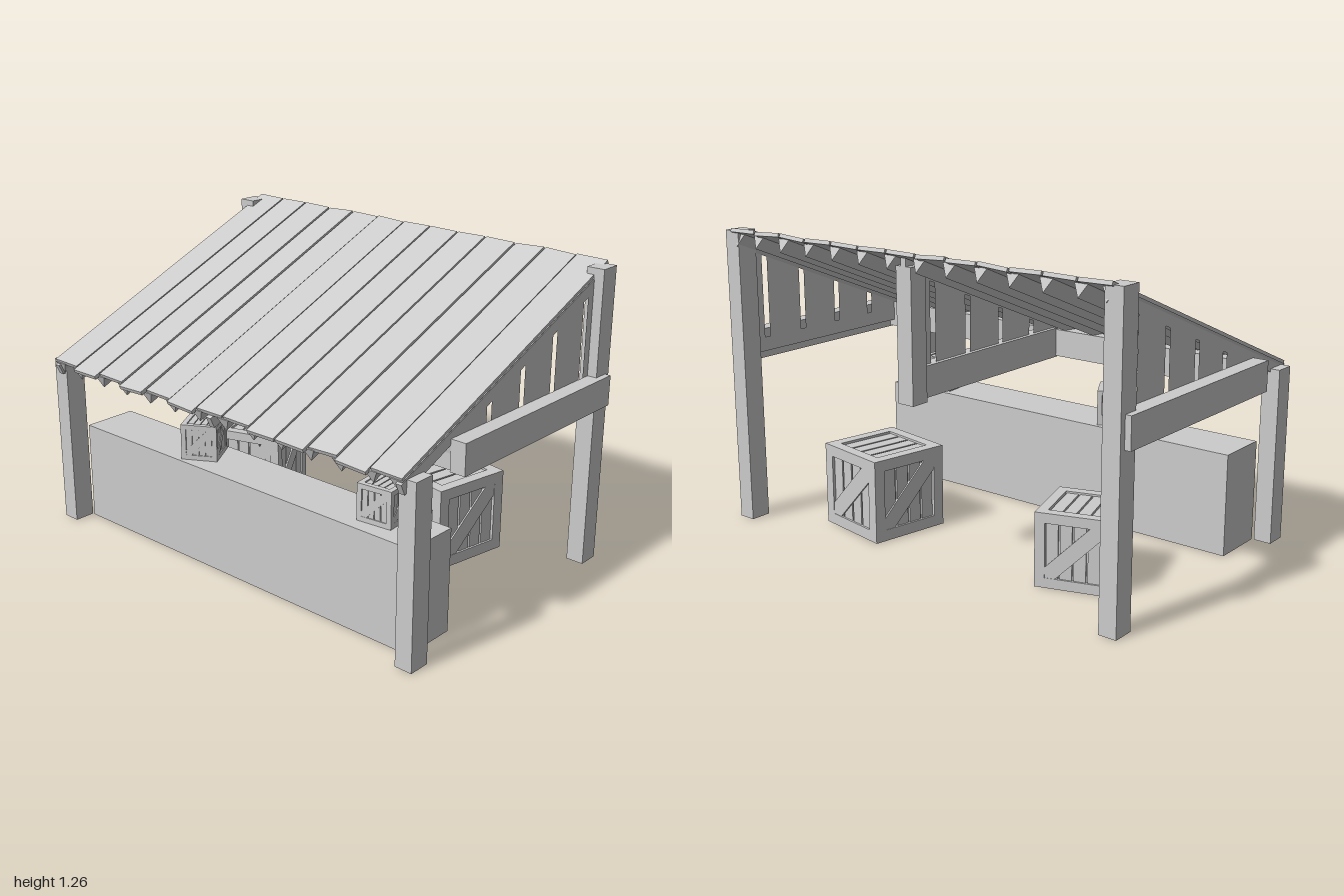
import * as THREE from 'three';

const wood = new THREE.MeshStandardMaterial({ color: 0xcccccc });
wood.name = 'pale grey wood';

function add(parent, name, geometry) {
  const mesh = new THREE.Mesh(geometry, wood);
  mesh.name = name;
  parent.add(mesh);
  return mesh;
}

// Box given by its minimum and maximum on each axis
function block(parent, name, x0, x1, y0, y1, z0, z1) {
  const mesh = add(parent, name, new THREE.BoxGeometry(x1 - x0, y1 - y0, z1 - z0));
  mesh.position.set((x0 + x1) / 2, (y0 + y1) / 2, (z0 + z1) / 2);
  return mesh;
}

function polygon(points) {
  return new THREE.Shape(points.map(([x, y]) => new THREE.Vector2(x, y)));
}

function extrude(shape, depth) {
  return new THREE.ExtrudeGeometry(shape, { depth, bevelEnabled: false });
}

// Height of the roof's upper surface at a given z
const SLOPE = 0.41;
const roofY = (z) => 0.9975 - SLOPE * z;

// Slatted crate: core, slats, frame on all six faces, diagonal on the four sides
function crate(parent, name, size, x, y, z, angle) {
  const group = new THREE.Group();
  group.name = name;
  group.position.set(x, y + size / 2, z);
  group.rotation.y = THREE.MathUtils.degToRad(angle);
  const h = size / 2, bar = size * 0.135, w = h - bar, b = size * 0.14;
  const core = size * 0.9;
  add(group, 'crateCore', new THREE.BoxGeometry(core, core, core));

  const brace = polygon([[-w, -w], [-w + b, -w], [w, w - b], [w, w], [w - b, w], [-w, -w + b]]);
  for (let f = 0; f < 6; f++) {
    const face = new THREE.Group();
    face.name = 'crateFace';
    if (f < 4) face.rotation.y = f * Math.PI / 2;
    else face.rotation.x = (f === 4 ? -1 : 1) * Math.PI / 2;
    group.add(face);
    const step = 2 * w / 4;
    for (let i = 0; i < 4; i++) {
      const s0 = -w + i * step;
      block(face, 'crateSlat', s0 + size * 0.012, s0 + step - size * 0.012, -w, w, core / 2 - 0.002, h - size * 0.025);
    }
    if (f < 4) {
      const mesh = add(face, 'crateBrace', extrude(brace, size * 0.04));
      mesh.position.z = h - size * 0.045;
    }
  }

  // Twelve frame bars
  for (const s of [-1, 1]) {
    for (const t of [-1, 1]) {
      const c = h - bar / 2;
      add(group, 'cratePost', new THREE.BoxGeometry(bar, size, bar)).position.set(s * c, 0, t * c);
      add(group, 'crateRail', new THREE.BoxGeometry(size - 2 * bar, bar, bar)).position.set(0, s * c, t * c);
      add(group, 'crateRail', new THREE.BoxGeometry(bar, bar, size - 2 * bar)).position.set(s * c, t * c, 0);
    }
  }
  parent.add(group);
}

// Upright wall under the roof, with narrow slots; shape is drawn in z and y
function gable(parent, name, x, thickness, shift) {
  const shape = polygon([
    [0.62, roofY(0.62) - 0.02], [0.6, 0.68], [0.35, 0.785], [0.34, 0.72],
    [-0.58, 0.72], [-0.62, 1.18], [-0.62, roofY(-0.62) - 0.02],
  ]);
  for (const z of [0.125, -0.08, -0.285, -0.49]) {
    const a = z + shift - 0.014, b = z + shift + 0.014;
    shape.holes.push(new THREE.Path([
      [a, 0.78], [a, roofY(a) - 0.07], [b, roofY(b) - 0.07], [b, 0.78],
    ].map(([u, v]) => new THREE.Vector2(u, v))));
  }
  const geometry = extrude(shape, thickness);
  geometry.rotateY(-Math.PI / 2);
  geometry.translate(thickness / 2, 0, 0);
  add(parent, name, geometry).position.x = x;
}

function buildRoof(parent) {
  const roof = new THREE.Group();
  roof.name = 'roof';
  roof.position.y = roofY(0);
  roof.rotation.x = Math.atan(SLOPE);
  parent.add(roof);

  // Planks with slightly uneven tilt and length
  const tilt = [-0.3, 0.2, -0.4, 1, -0.4, -1, 0.2, -0.3, 0.3, -0.4, 1, -1, -0.3];
  const longer = [0, 1, 0, 1, 0, 1, 0, 0, 1, 1, 0, 1, 0];
  const pitch = 1.875 / 13, left = -0.94, back = -0.688;
  tilt.forEach((t, i) => {
    const length = 1.352 + longer[i] * 0.022;
    const plank = add(roof, 'roofPlank', new THREE.BoxGeometry(pitch - 0.008, 0.016, length));
    plank.position.set(left + (i + 0.5) * pitch, -0.008, back + length / 2);
    plank.rotation.z = t * 0.06;
  });

  // V-shaped battens below the plank joints
  const batten = extrude(polygon([[-0.03, -0.012], [0, -0.068], [0.03, -0.012]]), 1.325);
  for (let i = 0; i <= 13; i++) {
    const x = THREE.MathUtils.clamp(left + i * pitch, left + 0.03, 0.905);
    add(roof, 'roofBatten', batten).position.set(x, 0, -0.658);
  }
}

export function createModel() {
  const model = new THREE.Group();
  model.name = 'marketStall';

  // Corner posts, side beams and end walls
  for (const s of [-1, 1]) {
    const x0 = s > 0 ? 0.9 : -0.975, x1 = x0 + 0.075;
    block(model, 'frontPost', x0, x1, 0, 0.735, 0.5, 0.59);
    block(model, 'backPost', x0, x1, 0, 1.245, -0.63, -0.54);
    const b0 = s > 0 ? 0.935 : -1;
    block(model, 'sideBeam', b0, b0 + 0.065, 0.685, 0.81, -0.605, 0.35);
    gable(model, 'sideGable', s * 0.922, 0.025, 0);
  }

  // Middle support and cross beam
  block(model, 'middleBeam', -0.03, 0.03, 0.685, 0.81, -0.56, 0.3);
  block(model, 'hangingPost', -0.037, 0.037, 0.67, 1.2, -0.62, -0.54);
  gable(model, 'middleGable', 0, 0.025, 0.015);
  block(model, 'crossBeam', -0.94, 0.94, 0.69, 0.805, 0.29, 0.345);

  buildRoof(model);

  block(model, 'counter', -0.89, 0.89, 0, 0.425, 0.265, 0.5);

  // Crates on the ground and on the counter
  crate(model, 'largeCrate', 0.35, 0.43, 0, -0.3, -10);
  crate(model, 'mediumCrate', 0.3, -0.57, 0, -0.25, 18);
  crate(model, 'counterCrateRight', 0.15, -0.283, 0.425, 0.383, 30);
  crate(model, 'counterCrateLeft', 0.15, 0.658, 0.425, 0.362, 6);

  return model;
}
